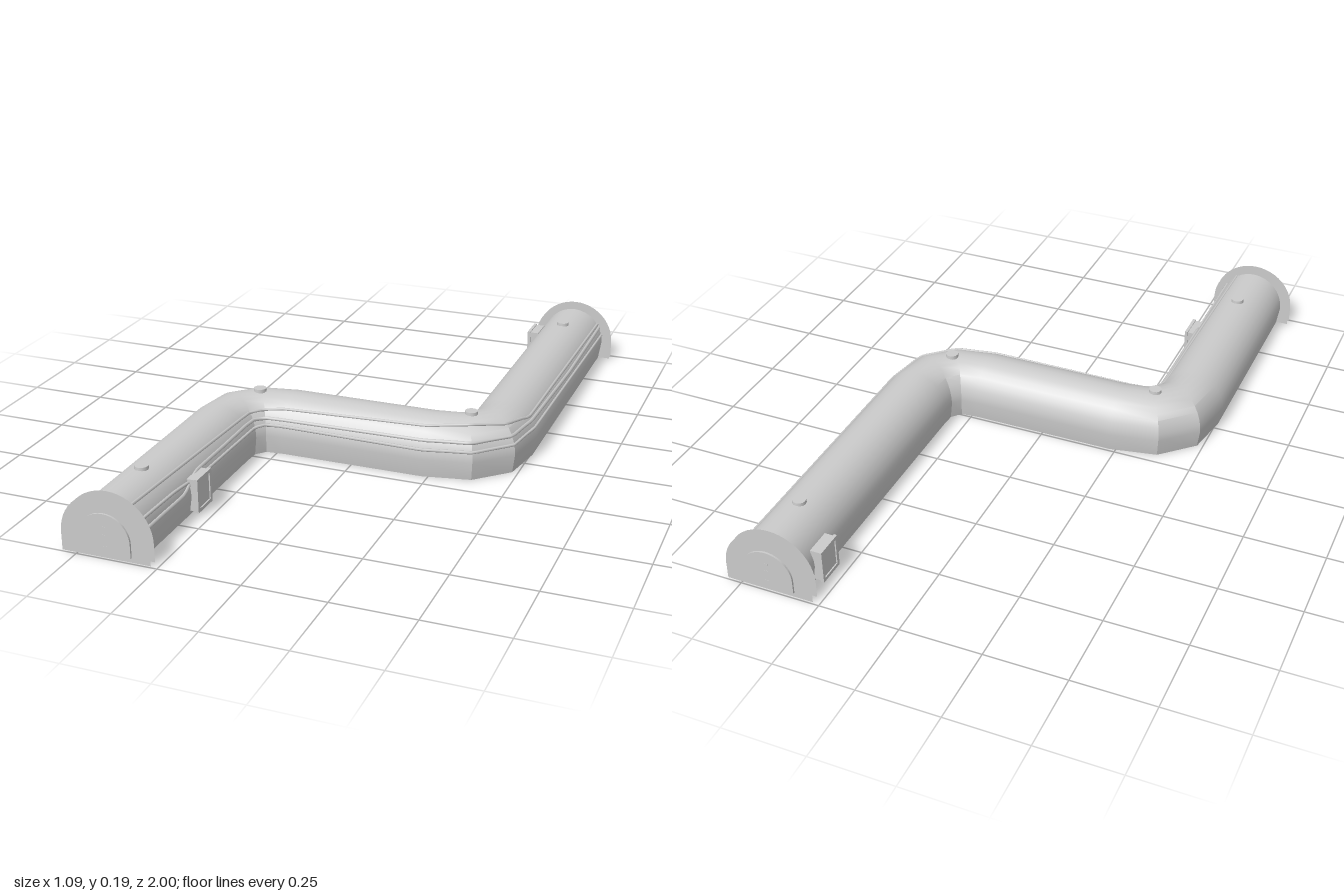
import * as THREE from 'three';
import { toCreasedNormals } from 'three/addons/utils/BufferGeometryUtils.js';

const material = new THREE.MeshStandardMaterial({ color: 0xcccccc });
const sheetMaterial = new THREE.MeshStandardMaterial({ color: 0xcccccc, side: THREE.DoubleSide });
const WALL = 0.062, RISE = 0.114; // wall height and height of the arched roof above it

// Stations along the S-shaped duct: [ax, az, bx, bz] = its two edges in plan
const half = [
  [-0.303, 0.97, -0.516, 0.97],
  [-0.303, 0.28, -0.516, 0.28],
  [-0.302, 0.24, -0.49, 0.13],
  [-0.28, 0.214, -0.385, 0.03],
  [-0.23, 0.21, -0.23, 0.0],
];
// The second bend is the first one turned half a circle about (0, 0.105)
const stations = [
  ...half,
  ...half.slice().reverse().map(([ax, az, bx, bz], i) =>
    i === 4 ? [-bx, -0.97, -ax, -0.97] : [-bx, 0.21 - bz, -ax, 0.21 - az]),
];

// Point at station s (may be fractional), t = 1 on edge a, t = -1 on edge b
function ductPoint(s, t, y) {
  const i = Math.min(Math.floor(s), stations.length - 2), f = s - i;
  const [ax, az, bx, bz] = stations[i].map((v, k) => v + (stations[i + 1][k] - v) * f);
  const m = (1 + t) / 2;
  return new THREE.Vector3(bx + (ax - bx) * m, y, bz + (az - bz) * m);
}

function roofPoint(s, angle) {
  return ductPoint(s, Math.cos(angle), WALL + RISE * Math.sin(angle));
}

function add(parent, name, geometry, mat = material) {
  const mesh = new THREE.Mesh(geometry, mat);
  mesh.name = name;
  parent.add(mesh);
  return mesh;
}

// Arched profile swept through the stations, with a flat floor
function ductGeometry() {
  const profile = [[0.91, 0.002]];
  for (let k = 0; k <= 16; k++) {
    const a = (k / 16) * Math.PI;
    profile.push([Math.cos(a), WALL + RISE * Math.sin(a)]);
  }
  profile.push([-0.91, 0.002]);
  const n = profile.length, positions = [], index = [];
  stations.forEach((_, s) => profile.forEach(([t, y]) => positions.push(...ductPoint(s, t, y).toArray())));
  for (let s = 0; s < stations.length - 1; s++) {
    for (let k = 0; k < n; k++) {
      const a = s * n + k, c = s * n + ((k + 1) % n);
      index.push(a, a + n, c, c, a + n, c + n);
    }
  }
  const g = new THREE.BufferGeometry();
  g.setAttribute('position', new THREE.Float32BufferAttribute(positions, 3));
  g.setIndex(index);
  return toCreasedNormals(g, 0.5);
}

// Cable lying on the roof: list of [station, angle up the roof]
function cableGeometry(waypoints, radius) {
  const points = [];
  for (let i = 0; i < waypoints.length - 1; i++) {
    const [s0, a0] = waypoints[i], [s1, a1] = waypoints[i + 1];
    const steps = Math.max(1, Math.ceil((s1 - s0) * 3));
    for (let k = 0; k < steps; k++) {
      points.push(roofPoint(s0 + ((s1 - s0) * k) / steps, a0 + ((a1 - a0) * k) / steps));
    }
  }
  points.push(roofPoint(...waypoints[waypoints.length - 1]));
  return new THREE.TubeGeometry(new THREE.CatmullRomCurve3(points, false, 'catmullrom', 0.2), 110, radius, 6);
}

// Upright D: flat base, straight sides and a round top
function archShape(r, bottom, centre) {
  const s = new THREE.Shape();
  s.moveTo(-r, bottom);
  s.lineTo(r, bottom);
  s.lineTo(r, centre);
  s.absarc(0, centre, r, 0, Math.PI, false);
  s.lineTo(-r, bottom);
  return s;
}

// End flange: two thin arched sheets and a raised cover, facing +z
function endFlange() {
  const g = new THREE.Group();
  const sheet = new THREE.ShapeGeometry(archShape(0.1375, 0.003, 0.058), 12);
  add(g, 'innerFlangeSheet', sheet, sheetMaterial).position.z = 0.97;
  add(g, 'outerFlangeSheet', sheet, sheetMaterial).position.z = 0.994;
  const cover = new THREE.ExtrudeGeometry(archShape(0.08, 0.018, 0.06), {
    depth: 0.03, bevelEnabled: false, curveSegments: 12,
  });
  add(g, 'endCover', toCreasedNormals(cover, 0.6)).position.z = 0.97;
  for (const y of [0.04, 0.075, 0.1]) {
    add(g, 'coverSlot', new THREE.BoxGeometry(0.014, 0.003, 0.002)).position.set(0, y, 0.9995);
  }
  return g;
}

// Shallow box with a raised rim, facing +x
function wallBox() {
  const g = new THREE.Group();
  add(g, 'boxBody', new THREE.BoxGeometry(0.034, 0.1, 0.084)).position.x = -0.004;
  const rim = new THREE.Shape();
  rim.moveTo(-0.045, -0.053).lineTo(0.045, -0.053).lineTo(0.045, 0.053).lineTo(-0.045, 0.053).closePath();
  const hole = new THREE.Path();
  hole.moveTo(-0.034, -0.042).lineTo(-0.034, 0.042).lineTo(0.034, 0.042).lineTo(0.034, -0.042).closePath();
  rim.holes.push(hole);
  const frame = add(g, 'boxRim', new THREE.ExtrudeGeometry(rim, { depth: 0.01, bevelEnabled: false }));
  frame.rotation.y = Math.PI / 2;
  frame.position.x = 0.007;
  return g;
}

export function createModel() {
  const model = new THREE.Group();
  model.name = 'bentDuct';
  add(model, 'ductBody', ductGeometry());

  // Cables along one side of the duct
  const cables = [
    [[[0, 0.22], [0.36, 0.22], [0.5, 0.5], [1, 0.52], [4, 0.5], [5, 0.54], [8, 0.55], [8.5, 0.46], [9, 0.5]], 0.006],
    [[[0, 0.5], [0.3, 0.46], [0.55, 0.33], [1, 0.3], [4, 0.32], [5, 0.28], [8, 0.32], [9, 0.24]], 0.005],
    [[[0, 0.95], [0.5, 0.85], [1, 0.75], [3, 0.75], [4, 0.82], [5, 0.97], [6, 1.1], [7, 0.92], [8, 0.68], [9, 0.62]], 0.005],
  ];
  cables.forEach(([waypoints, radius]) => add(model, 'cable', cableGeometry(waypoints, radius)));

  // Closed flanges at both ends
  const front = endFlange(), back = endFlange();
  front.name = 'frontFlange';
  front.position.x = -0.409;
  back.name = 'backFlange';
  back.position.x = 0.409;
  back.rotation.y = Math.PI;
  model.add(front, back);

  // Boxes on the side walls
  const frontBox = wallBox(), backBox = wallBox();
  frontBox.name = 'frontWallBox';
  frontBox.position.set(-0.298, 0.067, 0.64);
  backBox.name = 'backWallBox';
  backBox.position.set(0.293, 0.067, -0.876);
  backBox.rotation.y = Math.PI;
  model.add(frontBox, backBox);

  // Round studs on the roof
  for (const [x, z] of [[-0.41, 0.77], [-0.335, 0.13], [0.345, 0.07], [0.41, -0.8]]) {
    add(model, 'roofStud', new THREE.CylinderGeometry(0.02, 0.022, 0.025, 12)).position.set(x, 0.172, z);
  }
  return model;
}
